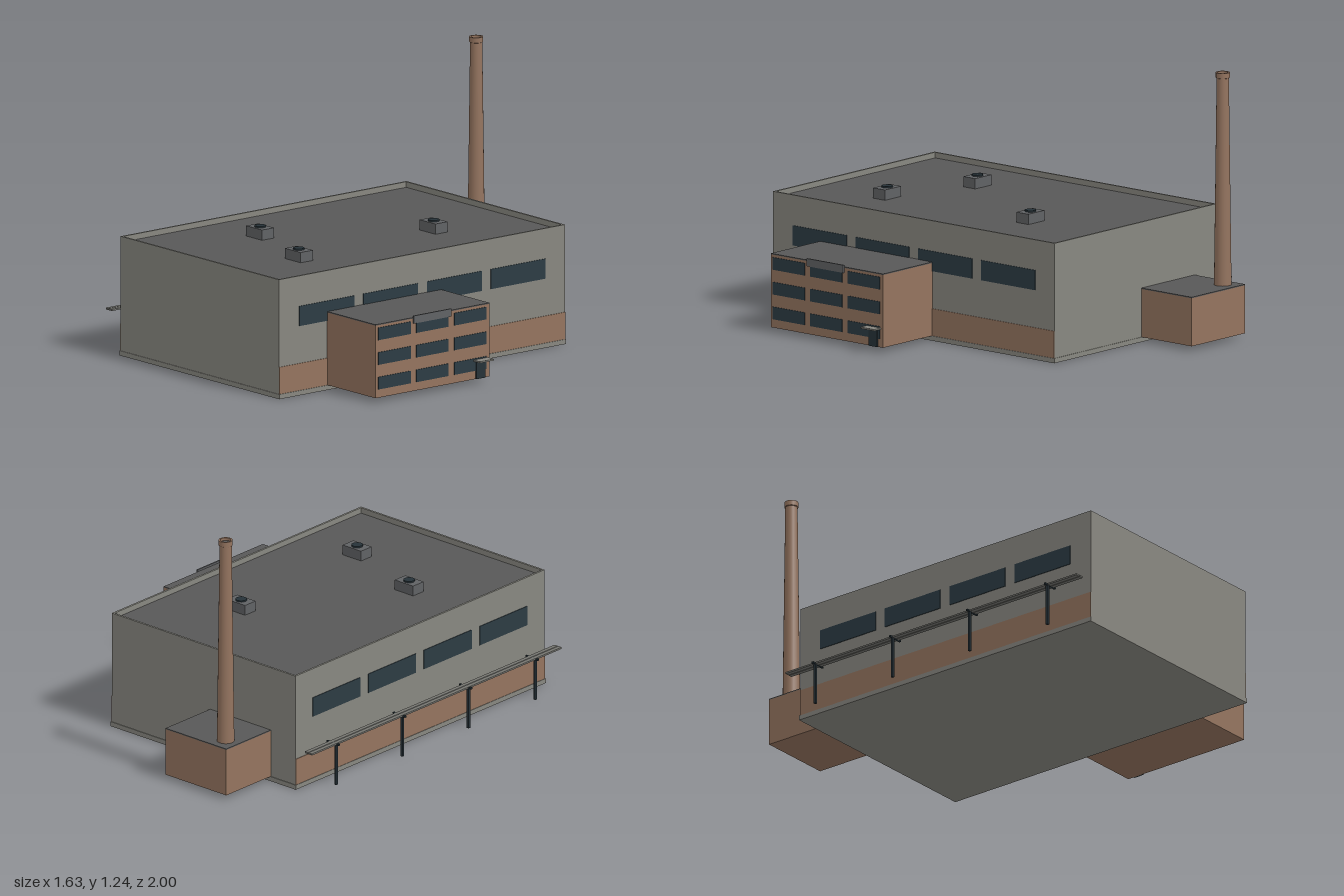
import * as THREE from 'three';

export function createModel() {
  const model = new THREE.Group();
  model.name = 'factory';
  const mat = (name, color) => Object.assign(new THREE.MeshStandardMaterial({ color }), { name });
  const concrete = mat('concrete', 0x888780);
  const brick = mat('brick', 0x94745f);
  const roofing = mat('roofing', 0x585858);
  const glass = mat('dark glass', 0x2c3b43);
  const steel = mat('dark steel', 0x263238);
  const unitGrey = mat('unit grey', 0x606264);
  const pipeGrey = mat('pipe grey', 0x74746f);

  const add = (name, geo, material, x = 0, y = 0, z = 0, parent = model) => {
    const mesh = new THREE.Mesh(geo, material);
    mesh.name = name;
    mesh.position.set(x, y, z);
    parent.add(mesh);
    return mesh;
  };
  // Box given by its limits on each axis
  const box = (name, material, x0, x1, y0, y1, z0, z1, parent) =>
    add(name, new THREE.BoxGeometry(x1 - x0, y1 - y0, z1 - z0), material,
      (x0 + x1) / 2, (y0 + y1) / 2, (z0 + z1) / 2, parent);

  // Main hall: plinth, walls, sunken roof and parapet
  const X0 = -0.70, X1 = 0.42, Z0 = -0.697, Z1 = 0.997, T = 0.01;
  box('plinth', concrete, X0 - 0.005, X1 + 0.006, 0, 0.022, -0.70, 1);
  box('hallWalls', concrete, X0, X1, 0.022, 0.524, Z0, Z1);
  box('hallRoof', roofing, X0 + T, X1 - T, 0.524, 0.53, Z0 + T, Z1 - T);
  for (const [a, b] of [[X0, X0 + T], [X1 - T, X1]]) box('sideParapet', concrete, a, b, 0.524, 0.556, Z0, Z1);
  for (const [a, b] of [[Z0, Z0 + T], [Z1 - T, Z1]]) box('endParapet', concrete, X0 + T, X1 - T, 0.524, 0.556, a, b);

  // Brick band and long windows on both long sides
  for (const [x0, x1] of [[X0 - 0.003, X0], [X1, X1 + 0.003]]) {
    box('brickBand', brick, x0, x1, 0.022, 0.148, Z0, Z1);
    for (let i = 0; i < 4; i++) {
      const z = 0.715 - i * 0.378;
      box('hallWindow', glass, x0, x1, 0.322, 0.415, z - 0.162, z + 0.162);
    }
  }

  // Roof ventilation units
  for (const [x, z] of [[0.05, -0.23], [-0.365, 0.45], [0.087, 0.60]]) {
    const unit = new THREE.Group();
    unit.name = 'roofUnit';
    unit.position.set(x, 0.53, z);
    model.add(unit);
    box('unitCase', unitGrey, -0.056, 0.056, 0, 0.048, -0.036, 0.036, unit);
    add('unitFan', new THREE.CylinderGeometry(0.026, 0.026, 0.007, 16), steel, 0, 0.0515, 0, unit);
  }

  // Office wing
  const F = 0.763;
  box('officeWalls', brick, X1, F, 0.022, 0.36, 0.037, 0.712);
  box('officeRoof', roofing, X1, F, 0.36, 0.365, 0.037, 0.712);
  for (const z of [0.602, 0.377, 0.152])
    for (const y of [0.09, 0.205, 0.32])
      box('officeWindow', glass, F, F + 0.003, y - 0.029, y + 0.029, z - 0.096, z + 0.096);
  box('signBoard', unitGrey, F, F + 0.008, 0.338, 0.374, 0.27, 0.49);
  box('door', steel, F, F + 0.007, 0.022, 0.106, 0.068, 0.12);
  box('doorCanopy', concrete, F, 0.81, 0.106, 0.113, 0.05, 0.133);

  // Boiler house
  box('boilerHouse', brick, -0.55, -0.18, 0.022, 0.245, -1, Z0);
  box('boilerRoof', roofing, -0.55, -0.18, 0.245, 0.25, -1, Z0);

  // Tapered chimney with a rim and a dark flue
  const profile = [[0.04, 0.25], [0.028, 1.21], [0.032, 1.212], [0.032, 1.236], [0.024, 1.236], [0.024, 1.222]];
  const pts = [];
  profile.forEach(([r, y], i) => {
    pts.push(new THREE.Vector2(r, y));
    if (i > 0 && i < profile.length - 1) pts.push(new THREE.Vector2(r, y + 0.0001));
  });
  add('chimney', new THREE.LatheGeometry(pts, 20), brick, -0.48, 0, -0.926);
  add('chimneyFlue', new THREE.CylinderGeometry(0.025, 0.025, 0.004, 20), roofing, -0.48, 1.222, -0.926);

  // Pipe rack beside the hall
  for (const z of [-0.53, -0.08, 0.37, 0.823]) {
    box('rackPost', steel, -0.804, -0.793, 0, 0.196, z - 0.006, z + 0.006);
    box('rackBeam', steel, -0.819, -0.744, 0.195, 0.203, z - 0.005, z + 0.005);
  }
  for (const x of [-0.794, -0.77])
    box('rackPipe', pipeGrey, x - 0.01, x + 0.01, 0.196, 0.204, -0.70, 0.997);

  return model;
}
